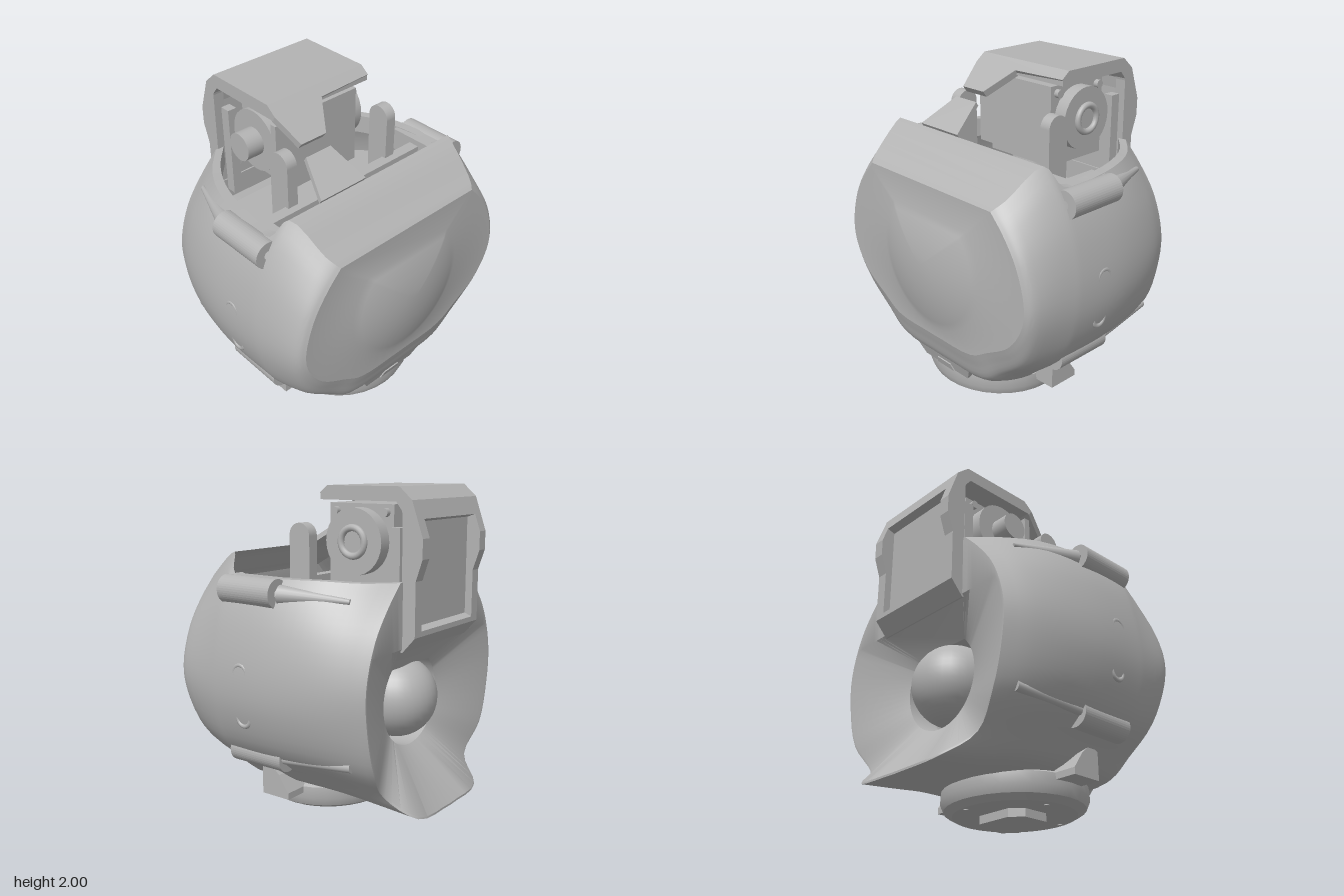
import * as THREE from 'three';
import { toCreasedNormals } from 'three/addons/utils/BufferGeometryUtils.js';

const V = (x, y, z) => new THREE.Vector3(x, y, z);

// Surface through rows of points
function grid(rows, crease = 0.7) {
  const n = rows[0].length, idx = [];
  for (let i = 0; i < rows.length - 1; i++) {
    for (let j = 0; j < n - 1; j++) {
      const a = i * n + j, b = a + n, c = a + 1, d = b + 1;
      idx.push(a, c, b, c, d, b);
    }
  }
  const g = new THREE.BufferGeometry().setFromPoints(rows.flat());
  g.setIndex(idx);
  return toCreasedNormals(g, crease);
}

const shapeOf = pts => new THREE.Shape(pts.map(p => new THREE.Vector2(p[0], p[1])));
const extrude = (shape, depth) =>
  new THREE.ExtrudeGeometry(shape, { depth, bevelEnabled: false, curveSegments: 20 });

// Side profile of [z, y] points, extruded from x0 to x1
const extrudeX = (pts, x0, x1) =>
  extrude(shapeOf(pts), x1 - x0).rotateY(-Math.PI / 2).translate(x1, 0, 0);

// Plate of [x, s] points, s running along the slope from [y, z] to [y, z]
const slopePlate = (pts, from, to, depth) =>
  extrude(shapeOf(pts), depth)
    .rotateX(Math.atan2(to[1] - from[1], to[0] - from[0]))
    .translate(0, from[0], from[1]);

// Rectangle with cut corners
const cutRect = (w, d, c) => shapeOf([[c - w, -d], [w - c, -d], [w, c - d], [w, d - c],
  [w - c, d], [c - w, d], [-w, d - c], [-w, c - d]]);

const box = (x0, x1, y0, y1, z0, z1) =>
  new THREE.BoxGeometry(x1 - x0, y1 - y0, z1 - z0)
    .translate((x0 + x1) / 2, (y0 + y1) / 2, (z0 + z1) / 2);

// Cylinder along x
const cylX = (r, x0, x1, y, z) =>
  new THREE.CylinderGeometry(r, r, x1 - x0, 28).rotateZ(Math.PI / 2)
    .translate((x0 + x1) / 2, y, z);

// Tapered round ridge between two points
function taper(a, b, ra, rb) {
  const d = b.clone().sub(a);
  const g = new THREE.CylinderGeometry(rb, ra, d.length(), 16);
  g.applyQuaternion(new THREE.Quaternion().setFromUnitVectors(V(0, 1, 0), d.clone().normalize()));
  return g.translate(...a.clone().add(b).multiplyScalar(0.5).toArray());
}

// Half outline of the shell at its widest, top edge to bottom centre
const HALF = [[.69, 1.5], [.76, 1.38], [.825, 1.2], [.866, .95], [.85, .74], [.76, .51], [.58, .34], [.42, .22], [0, .2]];

// The half outline at depth z: scaled at side, top and bottom, with a rear lip below a notch
function section(z, side, top, bottom, topY, bottomY, lip = 0) {
  return HALF.map(([x, y]) => {
    const up = y > .95, w = up ? (y - .95) / .55 : (.95 - y) / .75;
    const yy = .95 + w * ((up ? topY : bottomY) - .95);
    const l = THREE.MathUtils.clamp((.4 - yy) / .275, 0, 1);
    const notch = .65 * Math.exp(-(((yy - .33) / .08) ** 2));
    return V(x * THREE.MathUtils.lerp(side, up ? top : bottom, w * w), yy, z - lip * (l * l - notch));
  });
}

export function createModel() {
  const model = new THREE.Group();
  const grey = new THREE.MeshStandardMaterial({ color: 0xb3b3b3, side: THREE.DoubleSide });
  grey.name = 'plain grey';
  const add = (name, geometry) => {
    const m = new THREE.Mesh(geometry, grey);
    m.name = name;
    model.add(m);
  };

  // Shell, lofted front to back and mirrored
  const halves = [
    section(.663, .895, .76, .8, 1.42, .46),
    section(.64, .93, .785, .84, 1.44, .39),
    section(.59, .955, .82, .88, 1.475, .27),
    section(.37, .99, .9, 1, 1.62, .2),
    section(.3, .997, 1.01, 1, 1.51, .2),
    section(0, 1, 1, 1, 1.5, .2),
    section(-.25, .958, .91, .95, 1.5, .19),
    section(-.45, .89, .75, .87, 1.49, .16),
    section(-.61, .8, .54, .8, 1.49, .125, .135),
  ].map(s => new THREE.CatmullRomCurve3(s).getPoints(32));
  const columns = halves[0].map((_, j) =>
    new THREE.CatmullRomCurve3(halves.map(h => h[j])).getPoints((halves.length - 1) * 4));
  const rows = columns[0].map((_, i) => {
    const half = columns.map(c => c[i]);
    return [...half, ...half.slice(0, -1).reverse().map(p => V(-p.x, p.y, p.z))];
  });
  add('shell', grid(rows, 1));
  add('brow', grid(rows.slice(0, 13).map(r => [r[r.length - 1], r[0]])));
  for (const s of [1, -1]) {
    add('shellRim', grid(rows.slice(16).map(r => {
      const p = r[0], x = (p.x - .06) * s;
      const strip = [V(p.x * s, p.y, p.z), V(x, p.y, p.z), V(x, p.y - .12, p.z)];
      return s > 0 ? strip.reverse() : strip;
    })));
  }

  // Ring of points in the directions of a closed outline
  const ringLike = (outline, cy, r, z) => outline.map(p => {
    const a = Math.atan2(p.y - cy, p.x);
    return V(r * Math.cos(a), cy + r * Math.sin(a), z);
  });

  // Front face with its shallow dome
  const front = [...rows[0], rows[0][0]];
  const dome = [0, .08, .16, .24, .32, .38, .43].map(r =>
    ringLike(front, .95, r, .665 + .075 * (1 - (r / .43) ** 2)));
  add('frontFace', grid([...dome, front], 1));

  // Upright back faces beside the hood, then the funnel with the ball inside
  const rear = rows[rows.length - 1], back = [...rear, rear[0]];
  const mouth = back.map(p => V(p.x * .98, p.y > 1.12 ? 1.12 - (1.49 - p.y) * .02 : p.y + (.74 - p.y) * .02, p.z));
  const FUNNEL_Y = .74;
  add('rearFunnel', grid([back, mouth, ringLike(mouth, FUNNEL_Y, .29, -.45),
    ringLike(mouth, FUNNEL_Y, .29, -.28), ringLike(mouth, FUNNEL_Y, .1, -.28)]));
  add('rearBall', new THREE.SphereGeometry(.25, 32, 20).translate(0, FUNNEL_Y, -.35));

  // Lower front panel and tongue above the brow
  add('chinPanel', slopePlate([[-.2, 0], [.2, 0], [.245, .06], [.24, .2], [.2, .28], [-.2, .28], [-.24, .2], [-.245, .06]],
    [.465, .66], [.2, .57], .1));
  add('chinTab', slopePlate([[-.06, 0], [.06, 0], [.08, .05], [-.08, .05]], [.245, .593], [.2, .578], .02));
  add('tongue', slopePlate([[-.4, 0], [-.07, 0], [-.14, .252], [-.32, .252]], [1.61, .36], [1.75, .15], .03));

  // Hood: roof, cheeks, and a rear frame around a recessed panel
  add('hoodRoof', extrudeX([[-.1, 2], [-.58, 2], [-.66, 1.93], [-.695, 1.83], [-.61, 1.8], [-.6, 1.87],
    [-.56, 1.92], [-.05, 1.92], [-.05, 1.96]], -.36, .35));
  for (const x of [-.36, .28]) {
    add('hoodCheek', extrudeX([[-.61, 1.1], [-.69, 1.19], [-.69, 1.5], [-.73, 1.62], [-.73, 1.73],
      [-.66, 1.93], [-.58, 1.96], [-.6, 1.86]], x, x + .07));
  }
  add('hoodPanel', box(-.3, .3, 1.15, 1.86, -.645, -.61));
  add('hoodSill', extrudeX([[-.6, 1.1], [-.61, 1.1], [-.69, 1.19], [-.69, 1.22], [-.62, 1.25], [-.6, 1.25]], -.36, .35));
  add('visorFlap', slopePlate([[-.36, 0], [.35, 0], [.35, .07], [-.02, .08], [-.13, .278], [-.31, .278], [-.36, .08]],
    [2, -.1], [1.83, .12], .045));

  // Drive unit under the hood
  add('driveBox', box(-.24, .26, 1.42, 1.9, -.49, -.05));
  add('driveFace', box(-.35, .26, 1.45, 1.88, -.09, -.05));
  for (const [x0, x1] of [[.26, .34], [-.33, -.24]]) add('driveDisc', cylX(.19, x0, x1, 1.69, -.27));
  add('driveHub', new THREE.TorusGeometry(.08, .02, 10, 28).rotateY(Math.PI / 2).translate(.345, 1.69, -.27));
  add('driveShaft', cylX(.085, -.44, -.3, 1.69, -.27));
  for (const z of [-.1, -.44]) for (const x of [-.25, .27]) add('driveBolt', cylX(.025, x - .02, x + .02, 1.855, z));

  // Pivot posts
  const post = new THREE.Shape();
  post.moveTo(-.02, 1.2).lineTo(.125, 1.2).lineTo(.125, 1.715);
  post.absarc(.0525, 1.715, .0725, 0, Math.PI, false);
  for (const x of [-.35, .42]) {
    add('pivotPost', extrude(post, .07).rotateY(-Math.PI / 2).translate(x, 0, 0));
  }

  // Inner deck and supports
  add('innerDeck', extrude(cutRect(.7, .48, .2), .04).rotateX(-Math.PI / 2).translate(0, 1.16, .05));
  add('crossBeam', box(-.69, .69, 1.38, 1.46, .1, .17));
  add('frontBeam', box(-.5, .5, 1.2, 1.32, .28, .34));
  add('centreBlock', box(-.3, .15, 1.2, 1.4, .17, .25));

  // Sleeve outline with its screw hole
  const sleeve = new THREE.Shape().absarc(0, 0, .082, 0, Math.PI * 2);
  sleeve.holes.push(new THREE.Path().absarc(0, 0, .026, 0, Math.PI * 2, true));

  // Parts repeated on both sides: posts, sleeves, ridges, dimples and brackets
  for (const s of [1, -1]) {
    add('rearPost', box(s * .3 - .03, s * .3 + .03, 1.2, 1.78, -.575, -.51));
    add('innerBlock', box(s * .46 - .05, s * .46 + .05, 1.2, 1.4, .12, .36));
    for (const [x, y] of [[.735, 1.425], [.665, .465]]) {
      add('sleeve', extrude(sleeve, .38).translate(s * x, y, -.05));
      add('sleeveWeb', box(s * (x - .09) - .05, s * (x - .09) + .05, y - .07, y + .07, -.04, .32));
    }
    add('upperRidge', taper(V(s * .72, 1.42, -.05), V(s * .6, 1.4, -.44), .055, .015));
    add('lowerRidge', taper(V(s * .7, .47, -.05), V(s * .655, .5, -.49), .03, .03));
    for (const [x, y] of [[.853, .98], [.832, .71]]) {
      add('sideDimple', new THREE.TorusGeometry(.045, .014, 8, 24).rotateY(Math.PI / 2).translate(s * x, y, .13));
    }
    add('sideBracket', extrudeX([[.23, .16], [.23, .33], [.17, .36], [.1, .3], [.03, .2], [.03, .16]],
      s * .5 - .08, s * .5 + .08));
  }

  // Base disc and foot
  const baseProfile = [[0, .05], [.36, .05], [.41, .08], [.43, .13], [.425, .2], [.36, .24], [0, .3]]
    .map(p => new THREE.Vector2(p[0], p[1]));
  add('base', toCreasedNormals(new THREE.LatheGeometry(baseProfile, 32), .5).scale(1.07, 1, 1).translate(0, 0, .14));
  add('foot', extrude(cutRect(.19, .155, .07), .08).rotateX(-Math.PI / 2).translate(0, 0, .125));
  for (let i = 0; i < 4; i++) {
    const a = i * Math.PI / 2 + .2;
    add('baseScrew', new THREE.CylinderGeometry(.015, .015, .008, 10)
      .translate(.33 * Math.cos(a), .048, .14 + .33 * Math.sin(a)));
  }
  return model;
}
